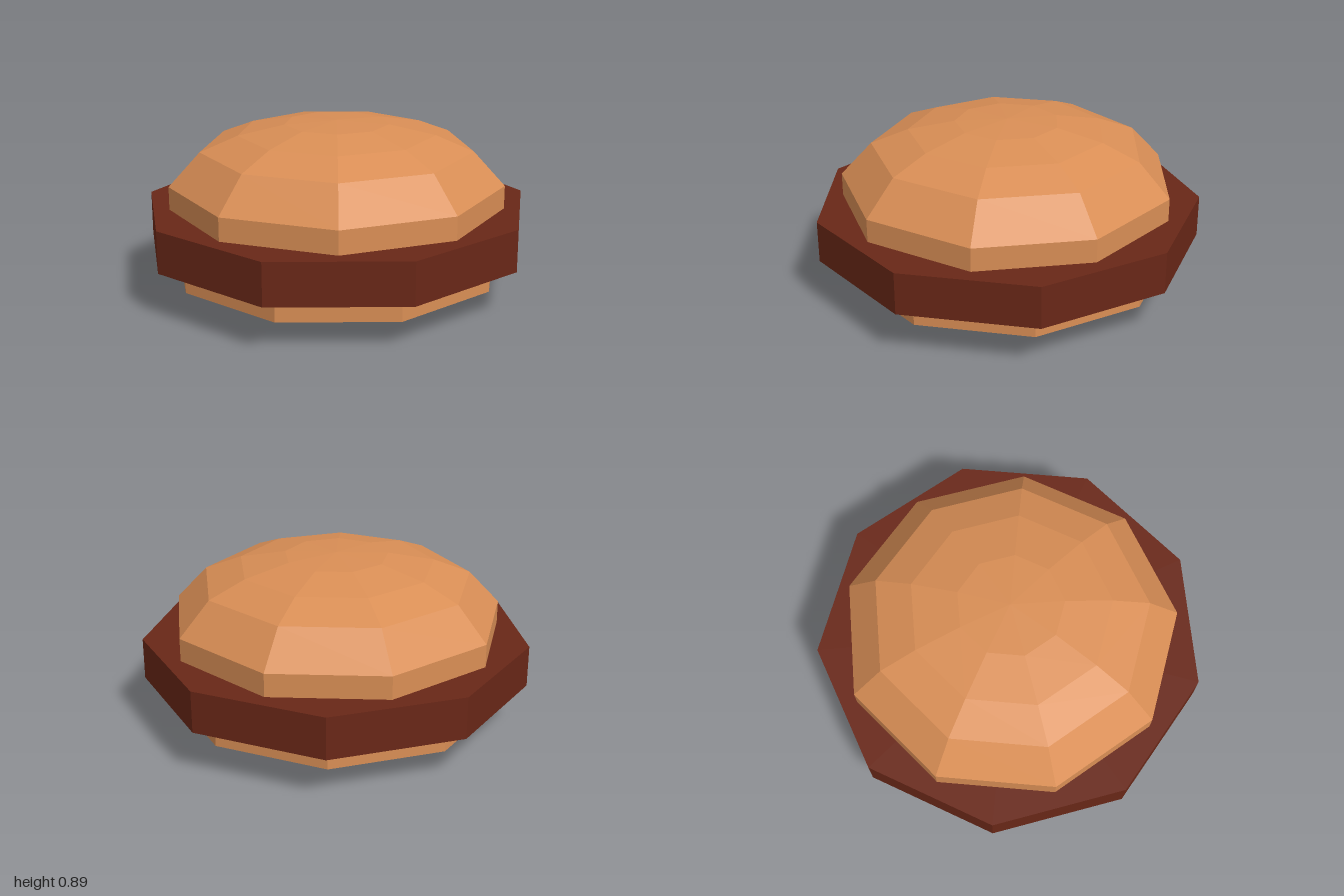
import * as THREE from 'three';

const SIDES = 9;
const CENTRE_Z = 0.03;

// Faceted nine-sided layer turned from a [radius, height] profile, bottom to top
function layer(name, color, profile, turn) {
  const points = profile.map(([r, y]) => new THREE.Vector2(r, y));
  const geometry = new THREE.LatheGeometry(points, SIDES, turn);
  const material = new THREE.MeshStandardMaterial({ color, flatShading: true });
  const mesh = new THREE.Mesh(geometry, material);
  mesh.name = name;
  mesh.position.z = CENTRE_Z;
  return mesh;
}

export function createModel() {
  const group = new THREE.Group();
  group.name = 'burger';
  const bun = 0xd98e55, meat = 0x692717;

  // Shallow bottom bun, a corner pointing to the back
  group.add(layer('bottomBun', bun, [
    [0, 0], [0.64, 0.033], [0.873, 0.107], [0.873, 0.236], [0, 0.236],
  ], Math.PI));

  // Wide flat patty, a corner pointing to the back
  group.add(layer('patty', meat, [
    [0, 0.236], [1.015, 0.236], [1.015, 0.455], [0, 0.455],
  ], Math.PI));

  // Domed top bun, a corner pointing to the front
  group.add(layer('topBun', bun, [
    [0, 0.455], [0.873, 0.455], [0.873, 0.575], [0.71, 0.75],
    [0.515, 0.828], [0.272, 0.876], [0, 0.89],
  ], 0));

  return group;
}
